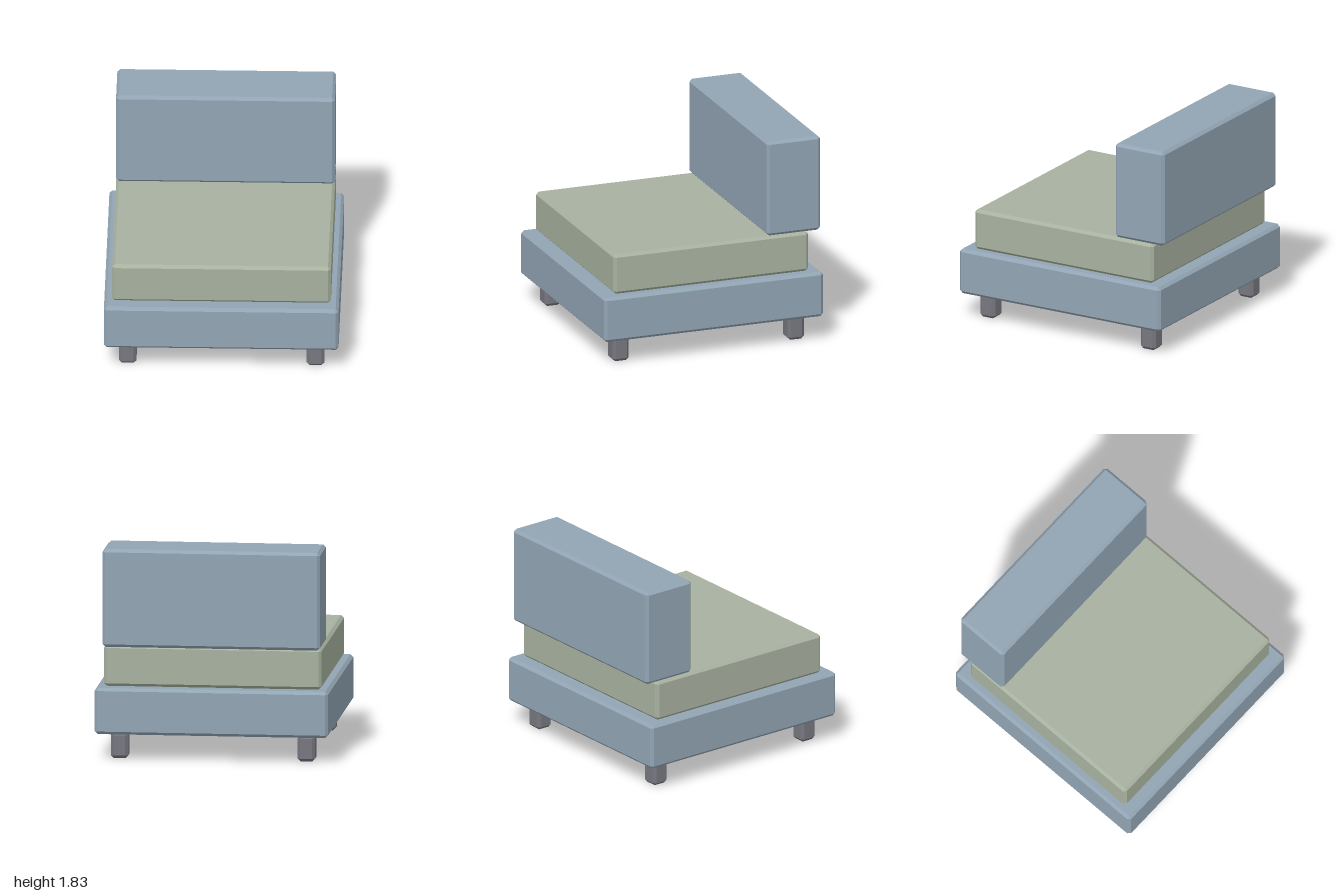
import * as THREE from 'three';
import { ConvexGeometry } from 'three/addons/geometries/ConvexGeometry.js';

const CHAMFER = 0.025;

// Box with every edge cut at 45 degrees and a small triangle at each corner
function chamferedBox(w, h, d, c = CHAMFER) {
  const points = [];
  for (const sx of [-1, 1]) for (const sy of [-1, 1]) for (const sz of [-1, 1]) {
    const x = w / 2, y = h / 2, z = d / 2;
    points.push(
      new THREE.Vector3(sx * x, sy * (y - c), sz * (z - c)),
      new THREE.Vector3(sx * (x - c), sy * y, sz * (z - c)),
      new THREE.Vector3(sx * (x - c), sy * (y - c), sz * z),
    );
  }
  return new ConvexGeometry(points);
}

export function createModel() {
  const group = new THREE.Group();
  group.name = 'armlessChair';

  const paint = (color) => new THREE.MeshStandardMaterial({ color, flatShading: true });
  const blue = paint(0x92a5b4);
  const sage = paint(0xa8b2a0);
  const grey = paint(0x777780);

  // Adds a chamfered block spanning y0..y1, centred at x, z
  const block = (name, material, w, d, y0, y1, x = 0, z = 0) => {
    const mesh = new THREE.Mesh(chamferedBox(w, y1 - y0, d), material);
    mesh.name = name;
    mesh.position.set(x, (y0 + y1) / 2, z);
    group.add(mesh);
  };

  // Base, seat cushion and back cushion
  block('base', blue, 2, 2, 0.225, 0.625);
  block('seatCushion', sage, 1.865, 1.78, 0.625, 0.98);
  block('backCushion', blue, 1.865, 0.49, 0.98, 1.825, 0, -0.755);

  // Four legs
  for (const [side, sx] of [['Left', 1], ['Right', -1]]) {
    for (const [end, sz] of [['front', 1], ['back', -1]]) {
      block(`${end}${side}Leg`, grey, 0.15, 0.15, 0, 0.225, sx * 0.8, sz * 0.8);
    }
  }

  return group;
}
